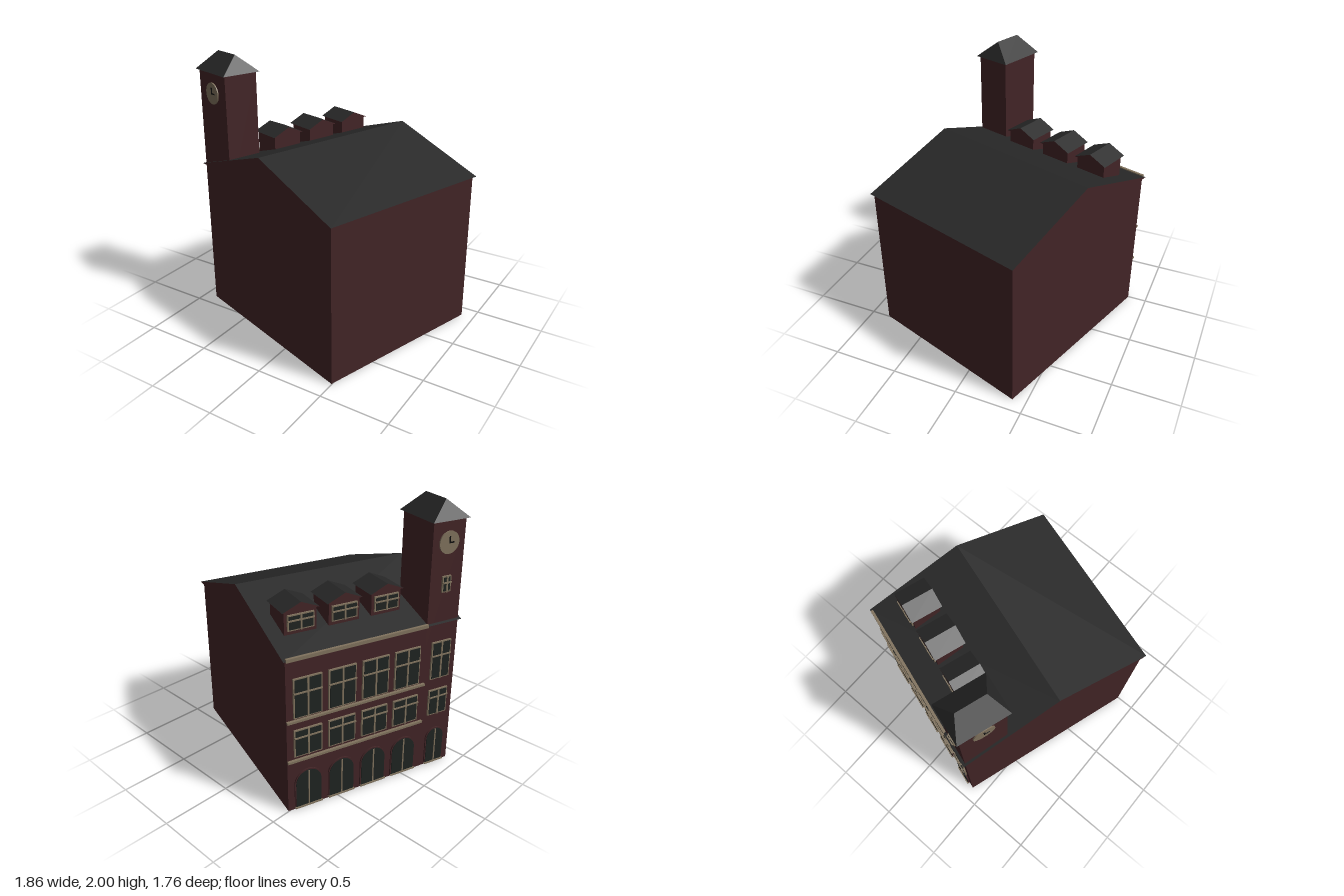
import * as THREE from 'three';

const mat = (name, color) => {
  const m = new THREE.MeshStandardMaterial({ color });
  m.name = name;
  return m;
};

export function createModel() {
  const brick = mat('dark red brick', 0x422426);
  const slate = mat('charcoal slate', 0x272727);
  const cream = mat('weathered cream', 0x80725d);
  const glass = mat('dark glass', 0x1f2321);
  const black = mat('black', 0x0c0c0c);

  const add = (parent, name, geo, material, x = 0, y = 0, z = 0) => {
    const m = new THREE.Mesh(geo, material);
    m.name = name;
    m.position.set(x, y, z);
    parent.add(m);
    return m;
  };
  const box = (parent, name, w, h, d, material, x, y, z) =>
    add(parent, name, new THREE.BoxGeometry(w, h, d), material, x, y, z);
  const group = (parent, name) => {
    const g = new THREE.Group();
    g.name = name;
    parent.add(g);
    return g;
  };

  // Gabled roof with brick ends, ridge along z
  const gableRoof = (parent, name, halfW, rise, len) => {
    const s = new THREE.Shape([
      new THREE.Vector2(-halfW, 0), new THREE.Vector2(halfW, 0), new THREE.Vector2(0, rise)]);
    const geo = new THREE.ExtrudeGeometry(s, { depth: len, bevelEnabled: false });
    geo.translate(0, 0, -len / 2);
    return add(parent, name, geo, [brick, slate]);
  };

  // Framed window with one mullion and one transom, facing +z
  const windowAt = (parent, x, y0, y1, w, ratio) => {
    const g = group(parent, 'window'), h = y1 - y0;
    g.position.set(x, y0, 0);
    box(g, 'windowFrame', w, h, 0.012, cream, 0, h / 2, 0.006);
    box(g, 'windowPane', w - 0.018, h - 0.018, 0.009, glass, 0, h / 2, 0.0105);
    box(g, 'mullion', 0.012, h, 0.02, cream, 0, h / 2, 0.01);
    box(g, 'transom', w, 0.01, 0.022, cream, 0, h * ratio, 0.011);
  };

  // Round-topped doorway, facing +z
  const arch = (w, h, d) => {
    const s = new THREE.Shape(), r = w / 2;
    s.moveTo(-r, 0);
    s.lineTo(r, 0);
    s.lineTo(r, h - r);
    s.absarc(0, h - r, r, 0, Math.PI, false);
    s.lineTo(-r, 0);
    return new THREE.ExtrudeGeometry(s, { depth: d, bevelEnabled: false, curveSegments: 12 });
  };
  const doorAt = (parent, x, w) => {
    const g = group(parent, 'archedDoor');
    g.position.set(x, 0.012, 0);
    add(g, 'doorSurround', arch(w, 0.295, 0.01), brick);
    add(g, 'doorPane', arch(w - 0.016, 0.287, 0.014), glass);
    box(g, 'doorMullion', 0.01, 0.285, 0.018, cream, 0, 0.1425, 0.009);
    box(g, 'doorSill', w, 0.01, 0.022, cream, 0, 0.005, 0.011);
  };

  // Clock showing three o'clock, facing +z
  const clockAt = (parent, x, y, z) => {
    const g = group(parent, 'clock');
    g.position.set(x, y, z);
    const face = new THREE.CylinderGeometry(0.078, 0.078, 0.009, 32).rotateX(Math.PI / 2);
    add(g, 'clockFace', face, cream, 0, 0, 0.0045);
    box(g, 'minuteHand', 0.009, 0.045, 0.004, black, 0, 0.02, 0.011);
    box(g, 'hourHand', 0.04, 0.009, 0.004, black, 0.016, 0, 0.011);
  };

  const model = new THREE.Group();
  model.name = 'townHall';
  const hall = group(model, 'building');
  hall.rotation.y = -0.315;

  // Main block and roof
  const HX = 0.737, HZ = 0.66, EAVE = 1.155;
  box(hall, 'walls', HX * 2, EAVE, HZ * 2, brick, 0, EAVE / 2, 0);
  gableRoof(hall, 'mainRoof', 0.757, 0.245, 1.356).position.y = EAVE;

  // Corner tower with hipped roof
  const TX = -0.5685, TZ = 0.5315;
  box(hall, 'tower', 0.337, 0.875, 0.257, brick, TX, 1.4375, TZ);
  const a = 0.189, b = 0.148, r = 0.11, t = 0.125;
  const A = [-a, 0, b], B = [a, 0, b], C = [a, 0, -b], D = [-a, 0, -b], E = [-r, t, 0], F = [r, t, 0];
  const hip = new THREE.BufferGeometry();
  hip.setAttribute('position', new THREE.Float32BufferAttribute([
    A, B, F, A, F, E, C, D, E, C, E, F, B, C, F, D, A, E, A, D, C, A, C, B].flat(), 3));
  hip.computeVertexNormals();
  add(hall, 'towerRoof', hip, slate, TX, 1.875, TZ);
  clockAt(hall, TX, 1.725, HZ);

  // Decorated street side
  const facade = group(hall, 'facade');
  facade.rotation.y = -Math.PI / 2;
  facade.position.x = -HX;
  const bays = [-0.509, -0.255, -0.001, 0.253].map((x) => [x, 0.205]);
  for (const [x, w] of [...bays, [TZ, 0.16]]) {
    doorAt(facade, x, w);
    windowAt(facade, x, 0.43, 0.635, w, 0.72);
    windowAt(facade, x, 0.725, 1.015, w, 0.64);
  }
  windowAt(facade, TZ, 1.38, 1.495, 0.07, 0.6);
  clockAt(facade, TZ, 1.725, 0);
  for (const y of [0.4, 0.705])
    box(facade, 'stringCourse', 1.063, 0.016, 0.02, cream, -0.1285, y, 0.01);
  box(facade, 'gutter', 1.063, 0.024, 0.02, cream, -0.1285, 1.157, 0.011);

  // Dormers
  for (const z of [-0.458, -0.137, 0.187]) {
    const d = group(hall, 'dormer');
    d.rotation.y = -Math.PI / 2;
    d.position.set(-0.444, 0, z);
    box(d, 'dormerWalls', 0.23, 0.2, 0.21, brick, 0, 1.285, 0);
    gableRoof(d, 'dormerRoof', 0.131, 0.057, 0.242).position.y = 1.383;
    const front = group(d, 'dormerFront');
    front.position.z = 0.105;
    windowAt(front, 0, 1.25, 1.36, 0.19, 0.65);
  }
  return model;
}
